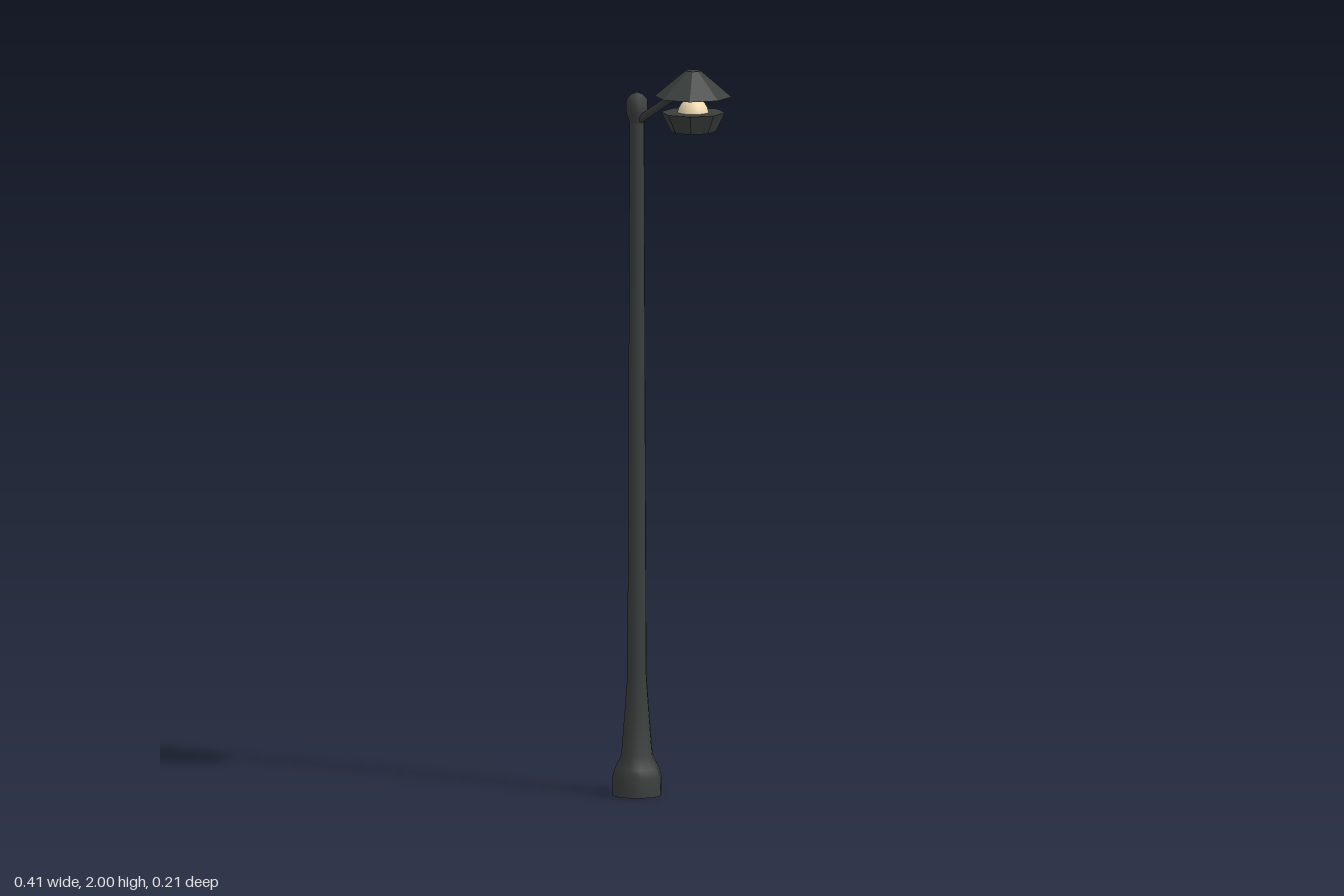
import * as THREE from 'three';

const POLE_X = -0.136;
const LAMP_X = 0.1;

export function createModel() {
  const group = new THREE.Group();
  const iron = new THREE.MeshStandardMaterial({ color: 0x3a3f3d });
  const facetedIron = new THREE.MeshStandardMaterial({ color: 0x3a3f3d, flatShading: true });
  const glow = new THREE.MeshStandardMaterial({ color: 0xf0d8b0 });

  const add = (name, geometry, material, x, y) => {
    const mesh = new THREE.Mesh(geometry, material);
    mesh.name = name;
    mesh.position.set(x, y, 0);
    group.add(mesh);
    return mesh;
  };
  // Twelve-sided turned part from [radius, height] pairs, bottom to top
  const turned = (profile) =>
    new THREE.LatheGeometry(profile.map(([r, y]) => new THREE.Vector2(r, y)), 12);

  // Post: flared foot, long slightly tapered shaft
  add('post', turned([
    [0.067, 0], [0.067, 0.052], [0.06, 0.075], [0.043, 0.11],
    [0.034, 0.22], [0.026, 0.33], [0.023, 1.05], [0.02, 1.85],
  ]), iron, POLE_X, 0);
  const underside = add('footUnderside', new THREE.CircleGeometry(0.067, 12), iron, POLE_X, 0);
  underside.rotation.x = Math.PI / 2;

  // Finial on top of the post
  add('finial', turned([
    [0.02, 1.83], [0.029, 1.855], [0.03, 1.892], [0.018, 1.906], [0, 1.914],
  ]), iron, POLE_X, 0);

  // Sloping arm from the post to the lamp
  const start = new THREE.Vector3(POLE_X, 1.833, 0);
  const end = new THREE.Vector3(0.07, 1.949, 0);
  const span = end.clone().sub(start);
  const arm = add('arm', new THREE.CylinderGeometry(0.011, 0.011, span.length(), 8), iron, 0, 0);
  arm.position.copy(start).add(end).multiplyScalar(0.5);
  arm.quaternion.setFromUnitVectors(new THREE.Vector3(0, 1, 0), span.normalize());

  // Eight-sided lamp: shade above, bulb, cup below
  add('lampShade', new THREE.CylinderGeometry(0.021, 0.104, 0.07, 8), facetedIron, LAMP_X, 1.965);
  const bulb = add('bulb', new THREE.SphereGeometry(0.043, 20, 14), glow, LAMP_X, 1.878);
  bulb.scale.y = 1.15;
  add('lampCup', new THREE.CylinderGeometry(0.087, 0.061, 0.052, 8), facetedIron, LAMP_X, 1.861);

  return group;
}
